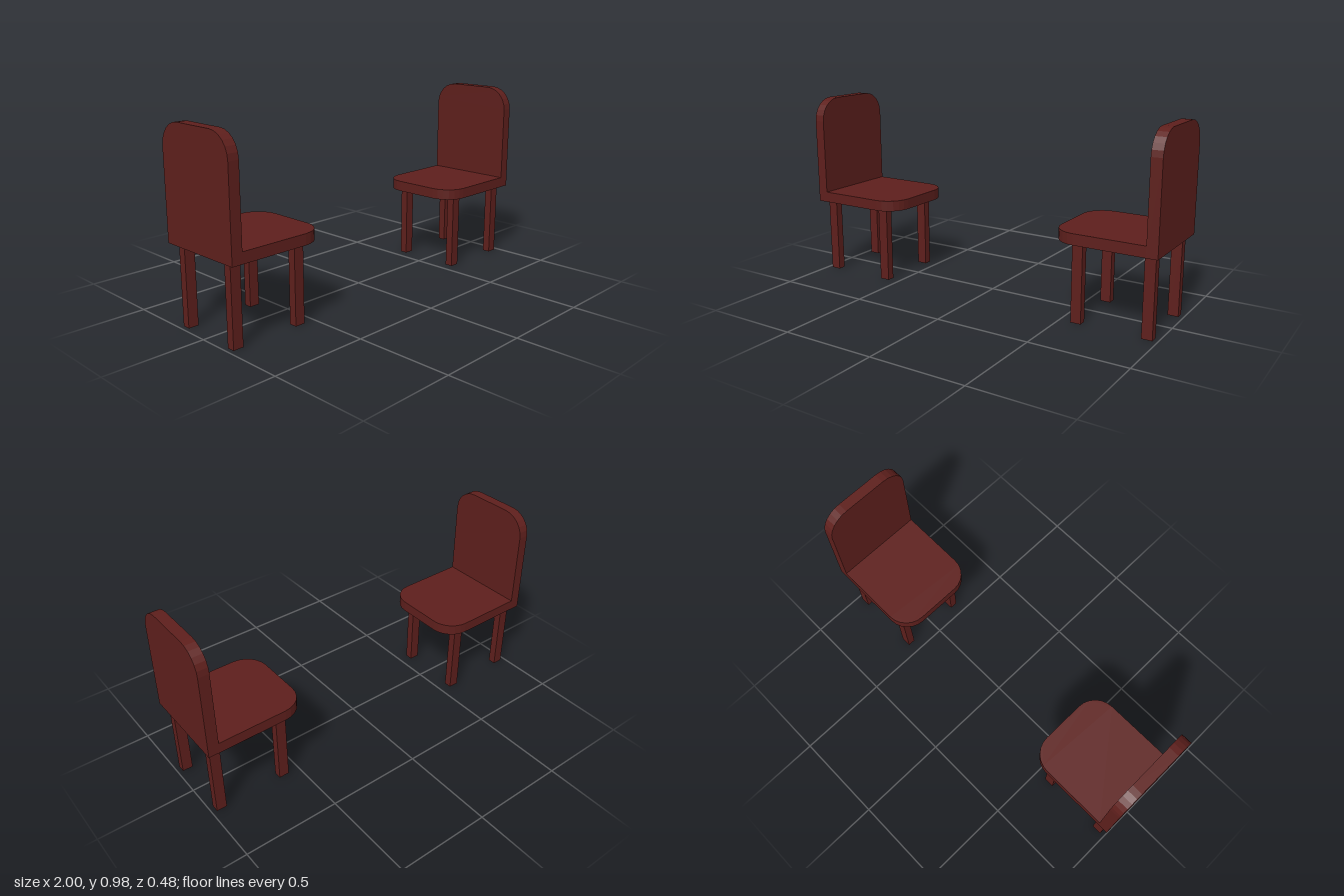
import * as THREE from 'three';

const HALF = 0.239, THICK = 0.056, SEAT_Y = 0.403, RADIUS = 0.12;

// Panel standing on its straight edge, with the two far corners rounded
function roundedPanel(length) {
  const s = new THREE.Shape();
  s.moveTo(-HALF, 0);
  s.lineTo(HALF, 0);
  s.absarc(HALF - RADIUS, length - RADIUS, RADIUS, 0, Math.PI / 2, false);
  s.absarc(-HALF + RADIUS, length - RADIUS, RADIUS, Math.PI / 2, Math.PI, false);
  s.closePath();
  return new THREE.ExtrudeGeometry(s, { depth: THICK, bevelEnabled: false, curveSegments: 3 });
}

// Chair with its back at x = -1, facing +x
function createChair(material) {
  const chair = new THREE.Group();
  const add = (name, geometry, x, y, z) => {
    const mesh = new THREE.Mesh(geometry, material);
    mesh.name = name;
    mesh.position.set(x, y, z);
    chair.add(mesh);
  };

  // Backrest: upright panel, rounded at the top
  add('backrest', roundedPanel(0.975 - SEAT_Y).rotateY(Math.PI / 2), -1, SEAT_Y, 0);

  // Seat: panel laid flat, rounded at the front edge
  const layFlat = new THREE.Matrix4().makeBasis(
    new THREE.Vector3(0, 0, 1), new THREE.Vector3(1, 0, 0), new THREE.Vector3(0, 1, 0));
  add('seat', roundedPanel(0.535 - THICK).applyMatrix4(layFlat), -1 + THICK, SEAT_Y, 0);

  // Four straight legs
  const leg = new THREE.BoxGeometry(0.054, SEAT_Y, 0.041);
  for (const [name, x] of [['backLeg', -0.948], ['frontLeg', -0.587]])
    for (const z of [-0.17, 0.17]) add(name, leg, x, SEAT_Y / 2, z);

  return chair;
}

export function createModel() {
  const model = new THREE.Group();
  model.name = 'facingChairs';
  const material = new THREE.MeshStandardMaterial({ color: 0x5e1f1c, flatShading: true });

  // Two identical chairs facing each other
  ['rightChair', 'leftChair'].forEach((name, i) => {
    const chair = createChair(material);
    chair.name = name;
    chair.rotation.y = i * Math.PI;
    model.add(chair);
  });
  return model;
}
